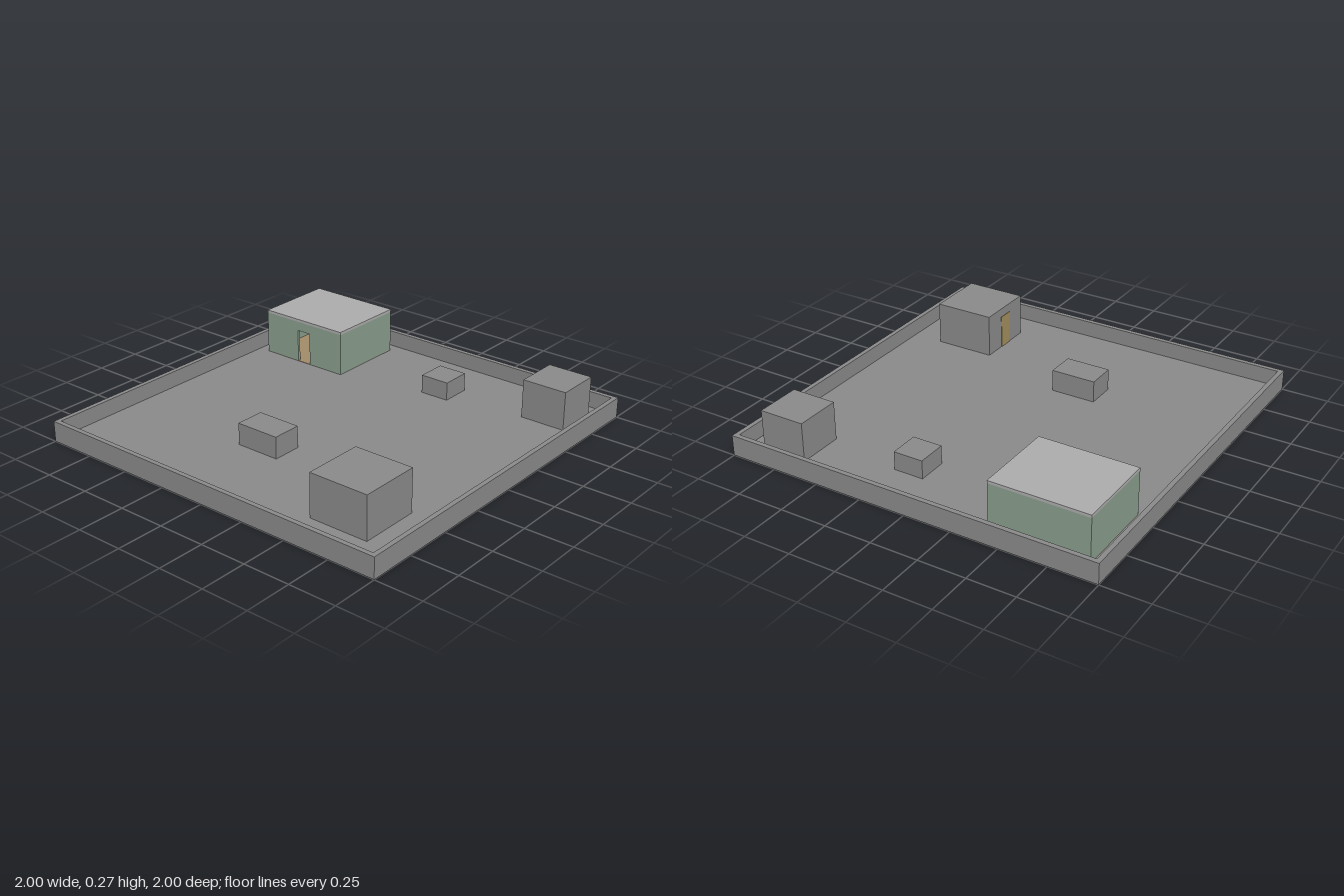
import * as THREE from 'three';

const mat = (name, color, side = THREE.FrontSide) => {
  const m = new THREE.MeshStandardMaterial({ color, side });
  m.name = name;
  return m;
};

export function createModel() {
  const model = new THREE.Group();
  model.name = 'walledYard';

  const concrete = mat('concrete grey', 0x888888);
  const green = mat('hut green', 0x879b8b);
  const roofGrey = mat('roof light grey', 0xaaaaaa);
  const tan = mat('floor tan', 0xa08a68);
  const doorTan = mat('door tan', 0xa08c5c);

  // Box given by its minimum and maximum on each axis
  const box = (name, [x0, x1], [y0, y1], [z0, z1], material, parent = model) => {
    const mesh = new THREE.Mesh(new THREE.BoxGeometry(x1 - x0, y1 - y0, z1 - z0), material);
    mesh.position.set((x0 + x1) / 2, (y0 + y1) / 2, (z0 + z1) / 2);
    mesh.name = name;
    parent.add(mesh);
    return mesh;
  };

  const FLOOR = 0.024, WALL_TOP = 0.11, T = 0.025, BOTTOM = 0.001;

  // Ground slab and low perimeter wall
  box('groundSlab', [-1, 1], [BOTTOM, FLOOR], [-1, 1], concrete);
  for (const s of [-1, 1]) {
    const edge = [s, s * (1 - T)].sort((a, b) => a - b);
    box('perimeterWallSide', edge, [FLOOR, WALL_TOP], [-1, 1], concrete);
    box('perimeterWallEnd', [-1 + T, 1 - T], [FLOOR, WALL_TOP], edge, concrete);
  }

  // Hollow hut with a doorway in its front wall
  const hut = new THREE.Group();
  hut.name = 'hut';
  model.add(hut);
  const X0 = -0.913, X1 = -0.393, Z0 = -0.913, Z1 = -0.473;
  const EAVE = 0.255, W = 0.016, D0 = -0.693, D1 = -0.61, DOOR_TOP = 0.204;
  box('hutFloor', [X0, X1], [0, FLOOR + 0.002], [Z0, Z1], tan, hut);
  box('hutBackWall', [X0, X1], [FLOOR, EAVE], [Z0, Z0 + W], green, hut);
  box('hutRightWall', [X0, X0 + W], [FLOOR, EAVE], [Z0 + W, Z1 - W], green, hut);
  box('hutLeftWall', [X1 - W, X1], [FLOOR, EAVE], [Z0 + W, Z1 - W], green, hut);
  const front = new THREE.Shape([
    [X0, FLOOR], [D0, FLOOR], [D0, DOOR_TOP], [D1, DOOR_TOP],
    [D1, FLOOR], [X1, FLOOR], [X1, EAVE], [X0, EAVE],
  ].map(([x, y]) => new THREE.Vector2(x, y)));
  const frontWall = new THREE.Mesh(
    new THREE.ExtrudeGeometry(front, { depth: W, bevelEnabled: false }), green);
  frontWall.position.z = Z1 - W;
  frontWall.name = 'hutFrontWall';
  hut.add(frontWall);
  box('hutRoof', [X0, X1], [EAVE, 0.27], [Z0, Z1], roofGrey, hut);

  // Solid blocks standing in the yard
  box('largeBlock', [0.488, 0.81], [FLOOR, 0.252], [0.488, 0.81], concrete);
  box('cornerBlock', [0.648, 0.893], [FLOOR, 0.23], [-0.898, -0.652], concrete);
  box('lowBlock', [-0.244, -0.002], [FLOOR, 0.14], [0.326, 0.484], concrete);
  box('smallBlock', [0.08, 0.24], [FLOOR, 0.122], [-0.733, -0.572], concrete);

  // Door plate on the large block
  box('blockDoor', [0.485, 0.489], [FLOOR, 0.204], [0.61, 0.69], doorTan);

  return model;
}
